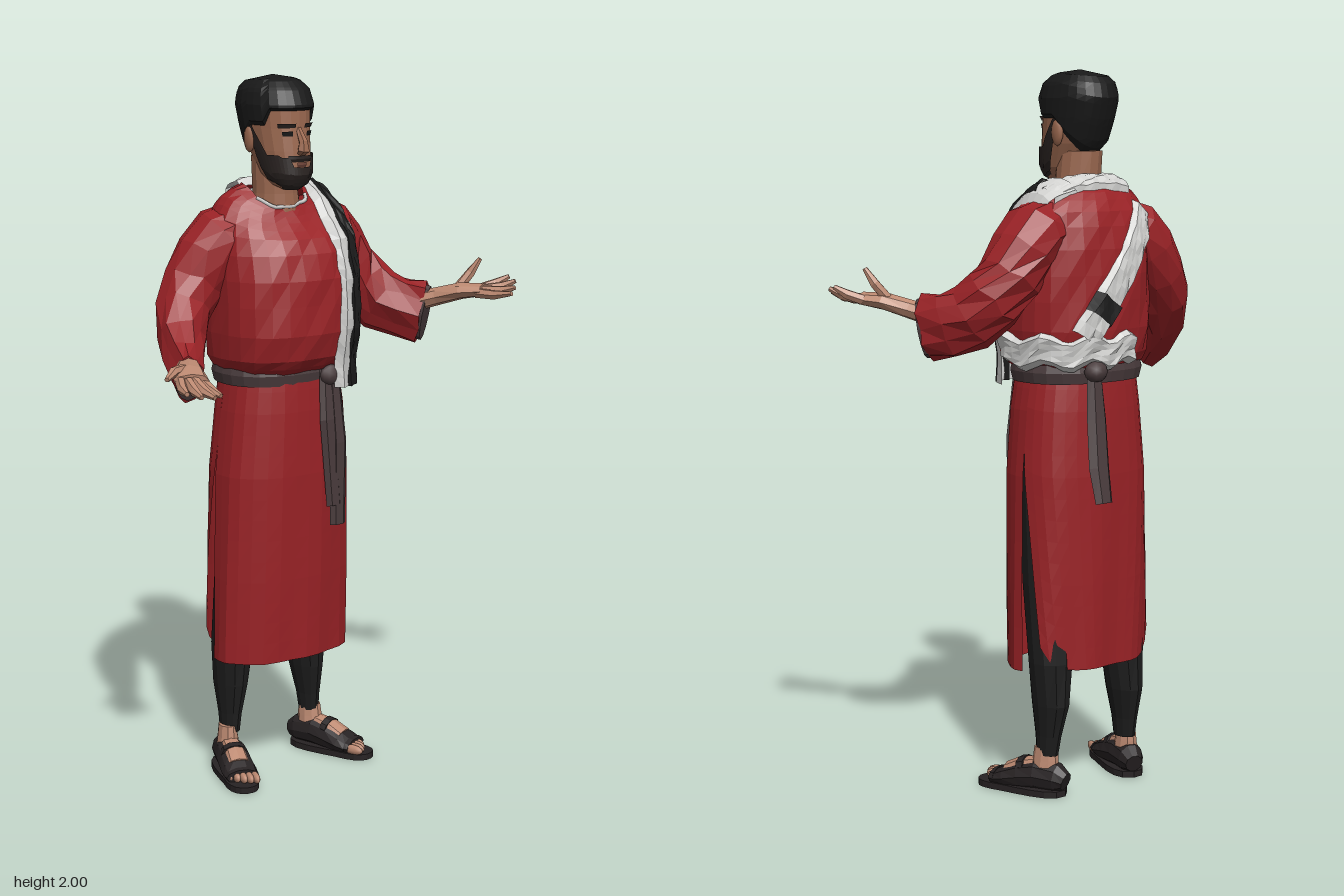
import * as THREE from 'three';

const V = (x, y, z) => new THREE.Vector3(x, y, z);
const paint = (name, color, side = THREE.FrontSide) => {
  const m = new THREE.MeshStandardMaterial({ color, side });
  m.name = name;
  return m;
};

// Faceted surface through rows of points; rows may close into rings and be capped.
function skin(rows, closed = true, caps = closed) {
  const pos = [], n = rows[0].length;
  const tri = (...p) => p.forEach(q => pos.push(q.x, q.y, q.z));
  for (let i = 0; i < rows.length - 1; i++)
    for (let j = 0; j < (closed ? n : n - 1); j++) {
      const k = (j + 1) % n, a = rows[i], b = rows[i + 1];
      tri(a[j], b[j], a[k]);
      tri(a[k], b[j], b[k]);
    }
  if (caps) [rows[0], rows[rows.length - 1]].forEach((r, e) => {
    const c = r.reduce((s, p) => s.add(p), V(0, 0, 0)).divideScalar(n);
    r.forEach((p, j) => (e ? tri(c, r[(j + 1) % n], p) : tri(c, p, r[(j + 1) % n])));
  });
  const g = new THREE.BufferGeometry();
  g.setAttribute('position', new THREE.Float32BufferAttribute(pos, 3));
  g.computeVertexNormals();
  return g;
}

// Tube along [x, y, z, vertical radius, sideways radius]
function limb(path, n = 8, ref = V(0, 1, 0)) {
  const c = path.map(p => V(p[0], p[1], p[2]));
  return skin(path.map((p, i) => {
    const t = c[Math.min(i + 1, c.length - 1)].clone().sub(c[Math.max(i - 1, 0)]).normalize();
    const s = t.clone().cross(ref).normalize(), u = s.clone().cross(t);
    return Array.from({ length: n }, (_, j) => {
      const a = j / n * Math.PI * 2;
      return c[i].clone().addScaledVector(s, Math.cos(a) * (p[4] ?? p[3])).addScaledVector(u, Math.sin(a) * p[3]);
    });
  }));
}

// Horizontal sections [y, cx, cz, rx, rz], interpolated by height
function section(table, y) {
  let i = 0;
  while (i < table.length - 2 && y > table[i + 1][0]) i++;
  const t = THREE.MathUtils.clamp((y - table[i][0]) / (table[i + 1][0] - table[i][0]), 0, 1);
  return table[i].map((v, k) => v + (table[i + 1][k] - v) * t);
}
function around(table, y, a, p = 2, lift = 0) {
  const [, cx, cz, rx, rz] = section(table, y), c = Math.cos(a), s = Math.sin(a);
  const k = Math.pow(Math.abs(c) ** p + Math.abs(s) ** p, -1 / p);
  return V(cx + (rx + lift) * c * k, y, cz + (rz + lift) * s * k);
}
const steps = (n, f) => Array.from({ length: n + 1 }, (_, i) => f(i / n));
const loft = (table, n, p) => skin(table.map(r => steps(n, t => around(table, r[0], t * Math.PI * 2, p)).slice(0, n)));

const TORSO = [
  [1.18, -.033, -.09, .168, .13], [1.22, -.03, -.082, .205, .165], [1.3, -.026, -.078, .216, .182],
  [1.45, -.024, -.082, .215, .18], [1.55, -.022, -.092, .215, .162], [1.62, -.025, -.1, .2, .133],
  [1.665, -.035, -.1, .165, .105], [1.69, -.045, -.09, .125, .085], [1.705, -.055, -.08, .085, .072]];
const HEAD = [
  [1.693, -.06, .01, .02, .02], [1.706, -.06, 0, .043, .045], [1.735, -.06, -.015, .062, .075],
  [1.8, -.06, -.04, .074, .095], [1.86, -.06, -.055, .079, .105], [1.92, -.06, -.065, .083, .113],
  [1.96, -.06, -.068, .075, .1], [1.985, -.06, -.07, .052, .07], [1.997, -.06, -.07, .012, .018]];
const SKIRT = [
  [.355, -.03, -.1, .217, .137], [.6, -.03, -.096, .214, .144], [.9, -.03, -.092, .207, .148],
  [1.1, -.028, -.09, .187, .143], [1.2, -.03, -.09, .168, .135]];

// The neckline dips at the front
const dip = (y, z) => Math.max(0, (y - 1.55) / .16) * Math.max(0, z + .09) * .75;
function torsoPoint(y, a) {
  const p = around(TORSO, y, a, 2.4, .005 * Math.sin(a * 7 + y * 11) * Math.sin(y * 23 + a * 3));
  p.y -= dip(y, p.z);
  return p;
}
function inside(p) {
  const y = p.y + dip(p.y, p.z), [, cx, cz, rx, rz] = section(TORSO, y);
  return y < 1.705 && Math.abs((p.x - cx) / rx) ** 2.4 + Math.abs((p.z - cz) / rz) ** 2.4 < 1;
}
// March from inside the torso to its surface
function hit(x, y, dir, lift) {
  const p = V(x, Math.max(y, 1.24), -.09), drop = Math.min(0, y - 1.24);
  for (let i = 0; i < 150 && inside(p); i++) p.addScaledVector(dir, .003);
  p.addScaledVector(dir, lift);
  p.y += drop;
  return p;
}
// Cloth laid on the torso; ray(u, v) gives [x, y, direction]
const drape = (ray, nu, lift, nv = 6) => skin(steps(nu, u => steps(nv, v => {
  const [x, y, d] = ray(u, v);
  return hit(x, y, d, v === 0 || v === 1 ? -.008 : lift + .003 * Math.sin(u * 40 + v * 9));
})), false);

export function createModel() {
  const root = new THREE.Group();
  root.name = 'robedMan';
  const red = paint('red cloth', 0x9a2226, THREE.DoubleSide);
  const white = paint('white cloth', 0xd2d2d0, THREE.DoubleSide);
  const black = paint('black cloth', 0x1d1d1d, THREE.DoubleSide);
  const flesh = paint('brown skin', 0x9c6950);
  const palmSkin = paint('lighter hand skin', 0xbd8a72);
  const hairM = paint('black hair', 0x191919, THREE.DoubleSide);
  const beardM = paint('dark beard', 0x2b2422, THREE.DoubleSide);
  const sash = paint('grey brown sash', 0x4a3c3d);
  const leather = paint('dark leather', 0x272223);
  const lipM = paint('lips', 0x70453a, THREE.DoubleSide);
  const add = (name, geo, mat, parent = root) => {
    const m = new THREE.Mesh(geo, mat);
    m.name = name;
    parent.add(m);
    return m;
  };
  const ball = (name, mat, p, s, parent) => {
    const g = new THREE.IcosahedronGeometry(1, 1);
    g.scale(...s);
    return add(name, g.translate(...p), mat, parent);
  };
  const TAU = Math.PI * 2;

  // Tunic top
  const heights = [1.18, 1.205, 1.23, 1.3, 1.38, 1.45, 1.52, 1.58, 1.62, 1.65, 1.67, 1.69, 1.705];
  add('tunicTop', skin(heights.map(y => steps(28, t => torsoPoint(y, t * TAU)).slice(0, 28)), true, false), red);
  const collar = new THREE.CatmullRomCurve3(steps(10, t => torsoPoint(1.703, .5 + t * (Math.PI - 1))));
  add('collarTrim', new THREE.TubeGeometry(collar, 14, .006, 5), white);

  // Skirt in two panels, open along both sides below the hip
  const panel = (front) => skin(steps(14, t => {
    return steps(16, s => {
      const low = front ? .355 : .36 + .07 * Math.abs(2 * s - 1) ** 6, y = low + (1.2 - low) * t;
      const gap = Math.max(0, (.95 - y) / .55) * .42;
      const a0 = front ? -.12 : Math.PI + .12 + gap, a1 = front ? Math.PI + .12 : TAU - .12 - gap;
      const a = a0 + (a1 - a0) * s;
      return around(SKIRT, y, a, 2.4, .005 * Math.sin(a * 9 + y * 2) * (1.2 - y));
    });
  }), false);
  add('skirtFront', panel(true), red);
  add('skirtBack', panel(false), red);

  // Sash round the waist with hanging tails
  add('waistSash', loft([[1.155, -.03, -.093, .186, .14], [1.185, -.03, -.093, .193, .146], [1.212, -.03, -.093, .187, .14]], 24, 2.4), sash);
  const Z = V(0, 0, 1);
  add('frontTailShort', limb([[.03, 1.19, .05, .012, .022], [.026, 1.05, .066, .014, .028], [.05, .8, .064, .012, .026]], 6, Z), sash);
  add('frontTailLong', limb([[.05, 1.19, .055, .012, .022], [.062, .98, .066, .015, .03], [.066, .74, .06, .012, .027]], 6, Z), sash);
  ball('frontKnot', sash, [.04, 1.175, .062], [.036, .03, .02]);
  add('backTail', limb([[.035, 1.2, -.24, .016, .024], [.038, 1.06, -.255, .02, .034], [.045, .93, -.274, .02, .036], [.045, .835, -.295, .014, .03]], 6, Z), sash);
  ball('backKnot', sash, [.036, 1.19, -.25], [.036, .03, .028]);

  // White scarf: over the left shoulder, behind the neck, across the back and round the waist
  const over = (x0, x1, end) => (u, v) => {
    const x = x0 + (x1 - x0) * v;
    if (u < .5) return [x, 1.14 + .36 * u * 2, Z];
    const f = (u - .5) * 2 * end;
    return [x, 1.5, V(0, Math.sin(f), Math.cos(f))];
  };
  add('scarfFront', drape(over(.042, .158, 2.1), 26, .013), white);
  add('scarfStripe', drape(over(.08, .136, 1.68), 26, .02), black);
  add('scarfNeck', drape((u, v) => {
    const f = 1.7 + .42 * v;
    return [.12 - .26 * u, 1.5, V(0, Math.sin(f), Math.cos(f))];
  }, 10, .012), white);
  const diagonal = (t0, t1) => (u, v) => {
    const t = t0 + (t1 - t0) * u, w = (v - .5) * .1;
    return [-.175 + .25 * t + w * .8, 1.62 - .34 * t + w * .6, V(0, 0, -1)];
  };
  add('scarfBack', drape(diagonal(0, 1), 12, .014), white);
  add('scarfBackStripe', drape(diagonal(.7, .84), 3, .022), black);
  add('scarfWaist', drape((u, v) => {
    const a = -1.95 + 2.25 * u;
    return [-.03, 1.2 + .09 * v + .012 * Math.sin(u * 21), V(Math.cos(a), 0, Math.sin(a))];
  }, 16, .014), white);

  // Sleeves, with a dark lining showing at the cuffs
  const sleeve = (side, path) => {
    const g = limb(path, 12), p = g.attributes.position;
    for (let i = 0; i < p.count; i++) {
      const x = p.getX(i), y = p.getY(i), z = p.getZ(i);
      p.setXYZ(i, x + .006 * Math.sin(y * 70 + z * 30), y + .006 * Math.sin(x * 80), z + .006 * Math.sin(y * 60 + x * 50));
    }
    g.computeVertexNormals();
    add(side + 'Sleeve', g, red);
    const [a, b] = path.slice(-2), d = V(b[0] - a[0], b[1] - a[1], b[2] - a[2]).normalize().multiplyScalar(.007);
    const at = (k) => [b[0] + d.x * k, b[1] + d.y * k, b[2] + d.z * k, b[3] * .9, b[4] * .88];
    add(side + 'CuffLining', limb([at(-1), at(1)], 12), sash);
  };
  sleeve('left', [[.1, 1.575, -.11, .085, .095], [.155, 1.56, -.125, .09, .1], [.2, 1.51, -.13, .088, .095], [.24, 1.45, -.13, .086, .09],
    [.285, 1.39, -.11, .09, .082], [.325, 1.345, -.07, .09, .07], [.365, 1.322, -.02, .088, .058], [.4, 1.31, .035, .09, .042]]);
  sleeve('right', [[-.14, 1.575, -.11, .085, .095], [-.195, 1.555, -.13, .09, .1], [-.24, 1.505, -.14, .088, .095], [-.285, 1.435, -.14, .086, .088],
    [-.33, 1.37, -.12, .083, .078], [-.37, 1.305, -.075, .08, .066], [-.4, 1.25, -.02, .078, .054], [-.43, 1.215, .05, .072, .042]]);

  // Open hands
  const hand = (side, arm, fingers) => {
    const g = new THREE.Group();
    g.name = side + 'Hand';
    root.add(g);
    add('palm', limb(arm, 8), palmSkin, g);
    fingers.forEach(([b, m, t], i) => add(i ? 'finger' : 'thumb',
      limb([[...b, .015], [...m, .014], [...t, .007]], 6), palmSkin, g));
  };
  hand('left', [[.36, 1.33, -.02, .03], [.42, 1.36, .07, .026, .032], [.46, 1.38, .13, .024, .046], [.495, 1.386, .185, .018, .046]], [
    [[.465, 1.39, .115], [.495, 1.43, .13], [.512, 1.47, .15]],
    [[.515, 1.385, .155], [.55, 1.4, .18], [.575, 1.42, .205]],
    [[.505, 1.385, .175], [.54, 1.395, .215], [.562, 1.412, .245]],
    [[.49, 1.385, .19], [.515, 1.388, .24], [.53, 1.4, .278]],
    [[.465, 1.38, .19], [.48, 1.38, .25], [.49, 1.39, .308]]]);
  hand('right', [[-.4, 1.25, -.02, .03], [-.445, 1.25, .07, .028, .032], [-.485, 1.248, .13, .026, .044], [-.51, 1.24, .18, .02, .046]], [
    [[-.49, 1.26, .115], [-.54, 1.262, .14], [-.578, 1.25, .165]],
    [[-.535, 1.24, .165], [-.56, 1.23, .21], [-.573, 1.225, .25]],
    [[-.522, 1.24, .18], [-.536, 1.225, .23], [-.54, 1.215, .268]],
    [[-.502, 1.24, .18], [-.505, 1.22, .23], [-.5, 1.21, .27]],
    [[-.478, 1.24, .17], [-.475, 1.22, .21], [-.468, 1.208, .25]]]);

  // Neck and head
  add('neck', loft([[1.6, -.05, -.075, .075, .075], [1.68, -.055, -.068, .064, .064], [1.78, -.06, -.07, .06, .068]], 14), flesh);
  add('head', loft(HEAD, 20, 2.2), flesh);
  const shell = (lo, hi, a0, a1, lift, rows = 9, end = lift) => skin(steps(rows, t => steps(28, s => {
    const a = a0 + (a1 - a0) * s, k = Math.sin(a);
    return around(HEAD, lo(k) + (hi(k) - lo(k)) * t, a, 2.2, t === 0 ? lift * .2 : t === 1 ? end : lift);
  })), false);
  const hair = add('hair', shell(k => (k > .55 ? 1.905 : k > -.1 ? 1.865 : 1.865 + .1 * k), () => 1.997, 0, TAU, .011, 12, -.012), hairM);
  hair.position.y = .003;
  add('beard', shell(() => 1.694, k => (k > .93 ? 1.757 : k > .72 ? 1.783 : k > .3 ? 1.79 : 1.87 - .2 * Math.max(0, k)), -.1, Math.PI + .1, .006, 6), beardM);
  add('moustache', shell(() => 1.771, () => 1.788, 1.05, Math.PI - 1.05, .006, 2), beardM);
  add('lips', shell(() => 1.757, () => 1.77, 1.35, Math.PI - 1.35, .004, 2), lipM);
  add('nose', limb([[-.06, 1.862, .044, .006, .009], [-.06, 1.825, .066, .012, .013],
    [-.06, 1.803, .068, .016, .019], [-.06, 1.793, .058, .008, .014]], 6, Z), flesh);
  for (const s of [-1, 1]) {
    const mid = Math.PI / 2 - s * .46;
    add('eye', shell(() => 1.84, () => 1.853, mid - .17, mid + .17, .004, 1), hairM);
    add('eyebrow', shell(() => 1.862, () => 1.874, mid - .28, mid + .28, .007, 1), beardM);
    ball('ear', flesh, [-.06 + s * .081, 1.83, -.07], [.011, .038, .022]);
  }

  // Trousered legs and open shoes
  for (const [side, s, off, out] of [['left', 1, 0, .148], ['right', -1, -.045, .158]]) {
    const x = v => s * v + off;
    add(side + 'Trouser', loft([[.115, x(.122), -.148, .026, .036], [.17, x(.12), -.15, .03, .044], [.26, x(.115), -.153, .045, .062],
      [.38, x(.11), -.148, .06, .066], [.6, x(.1), -.125, .07, .075], [.95, x(.085), -.1, .08, .085], [1.1, x(.07), -.095, .075, .085]], 12), black);
    const foot = new THREE.Group();
    foot.name = side + 'Foot';
    foot.position.set(x(out), 0, -.075);
    foot.rotation.y = s * .35;
    root.add(foot);
    const sole = new THREE.Shape();
    sole.moveTo(0, .135);
    sole.bezierCurveTo(.064, .133, .05, .03, .046, -.05);
    sole.bezierCurveTo(.05, -.11, .034, -.142, 0, -.142);
    sole.bezierCurveTo(-.034, -.142, -.05, -.11, -.046, -.05);
    sole.bezierCurveTo(-.05, .03, -.064, .133, 0, .135);
    const soleGeo = new THREE.ExtrudeGeometry(sole, { depth: .018, bevelEnabled: false, curveSegments: 5 });
    add('sole', soleGeo.rotateX(-Math.PI / 2).rotateY(Math.PI), leather, foot).rotation.y = Math.PI;
    add('shoeUpper', limb([[0, .042, -.136, .026, .026], [0, .05, -.11, .042, .038], [0, .054, -.05, .046, .045],
      [0, .046, 0, .042, .049], [0, .036, .045, .032, .052], [0, .03, .075, .022, .05]], 10), leather, foot);
    add('ankle', loft([[.07, 0, -.07, .034, .04], [.1, 0, -.072, .03, .038], [.135, 0, -.073, .026, .034]], 10), palmSkin, foot);
    add('instep', limb([[0, .082, -.045, .022, .028], [0, .072, .005, .022, .032], [0, .054, .045, .02, .034]], 8), palmSkin, foot);
    add('shoeStrap', limb([[0, .075, -.016, .026, .038], [0, .071, .004, .025, .04]], 10), leather, foot);
    for (let i = 0; i < 5; i++)
      ball('toe', palmSkin, [s * (-.034 + i * .017), .03, .1 - i * i * .0022], [.011, .015, .034 - i * .002], foot);
    add('toeStrap', limb([[0, .032, .074, .024, .05], [0, .031, .088, .021, .048]], 10), leather, foot);
  }
  return root;
}
